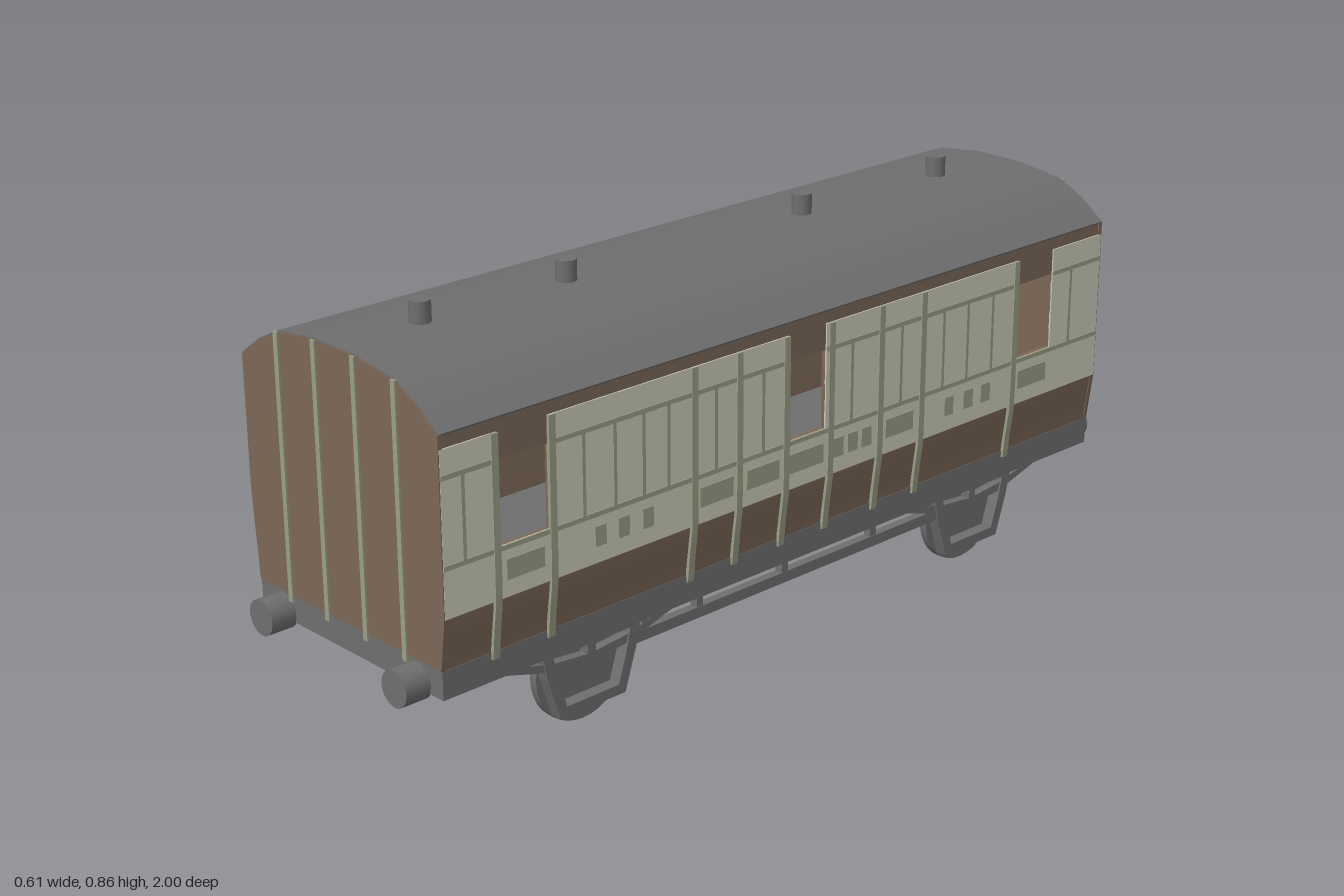
import * as THREE from 'three';
import { toCreasedNormals } from 'three/addons/utils/BufferGeometryUtils.js';

const material = (name, color) => {
  const m = new THREE.MeshStandardMaterial({ color });
  m.name = name;
  return m;
};

export function createModel() {
  const root = new THREE.Group();
  root.name = 'railwayCoach';
  const grey = material('frame grey', 0x6e6e6e);
  const brown = material('body brown', 0x7b6757);
  const cream = material('panel cream', 0xcacab8);
  const sage = material('beading sage', 0x9a9d85);

  const group = (name, parent = root) => {
    const g = new THREE.Group();
    g.name = name;
    parent.add(g);
    return g;
  };
  const add = (parent, name, geo, mat, x = 0, y = 0, z = 0) => {
    const m = new THREE.Mesh(geo, mat);
    m.name = name;
    m.position.set(x, y, z);
    parent.add(m);
    return m;
  };
  const polygon = (pts) => new THREE.Shape(pts.map((p) => new THREE.Vector2(...p)));
  const extrude = (shape, depth) => new THREE.ExtrudeGeometry(shape, { depth, bevelEnabled: false });

  const HALF = 0.943; // half length of the body
  const WIDE = 0.303;
  const knee = (s) => (s > 0 ? 0.36 : 0.44);
  // Half width of the side at a height: tucked in below the knee
  const sideX = (y, s) => WIDE - 0.014 * THREE.MathUtils.clamp((knee(s) - y) / (knee(s) - 0.25), 0, 1);

  // Slab following the side profile, between two lengths and two heights
  function sidePanel(parent, name, s, z0, z1, y0, y1, mat, outer, thick) {
    const geo = new THREE.BoxGeometry(thick, y1 - y0, Math.abs(z1 - z0), 1, y1 - y0 > 0.1 ? 8 : 1, 1);
    geo.translate(0, (y0 + y1) / 2, (z0 + z1) / 2);
    const p = geo.attributes.position;
    for (let i = 0; i < p.count; i++) {
      p.setX(i, p.getX(i) + s * (sideX(p.getY(i), s) + outer - thick / 2));
    }
    geo.computeVertexNormals();
    add(parent, name, geo, mat);
  }

  // Underframe
  add(root, 'underframe', new THREE.BoxGeometry(0.576, 0.06, HALF * 2), grey, 0, 0.22, 0);

  // Roof shell
  const arc = [[0.304, 0.725], [0.245, 0.768], [0.18, 0.8], [0.06, 0.815]];
  const mirrored = (pts) => [...pts, ...pts.map(([x, y]) => [-x, y]).reverse()];
  const outerArc = mirrored(arc);
  const innerArc = mirrored(arc.map(([x, y]) => [x * 0.97, y - 0.012])).reverse();
  const roof = extrude(polygon([...outerArc, ...innerArc]), HALF * 2);
  add(root, 'roof', toCreasedNormals(roof, 0.45), grey, 0, 0, -HALF);

  // Roof vents
  for (const z of [-0.72, -0.29, 0.377, 0.742]) {
    add(root, 'roofVent', new THREE.CylinderGeometry(0.022, 0.022, 0.06, 20), grey, 0, 0.83, z);
  }

  // End walls with upright beading
  const endShape = polygon([
    [-0.288, 0.25], [0.288, 0.25], [0.302, knee(1)],
    ...outerArc.map(([x, y]) => [x * 0.995, y - 0.002]), [-0.302, knee(-1)],
  ]);
  for (const e of [1, -1]) {
    const end = group(e > 0 ? 'frontEnd' : 'backEnd');
    add(end, 'endWall', extrude(endShape, 0.01), brown, 0, 0, e > 0 ? HALF - 0.008 : -HALF - 0.002);
    for (const x of [-0.182, -0.062, 0.06, 0.181]) {
      const top = Math.abs(x) > 0.1 ? 0.798 : 0.812;
      add(end, 'endBeading', new THREE.BoxGeometry(0.013, top - 0.236, 0.008), sage, x, (top + 0.236) / 2, e * (HALF + 0.002));
    }
    // Buffers
    for (const x of [-0.213, 0.213]) {
      const geo = new THREE.CylinderGeometry(0.038, 0.038, 0.06, 28).rotateX(Math.PI / 2);
      add(end, 'buffer', geo, grey, x, 0.207, e * 0.97);
    }
  }

  // Body sides
  const windows = [[0.81, 0.686], [0.056, -0.056], [-0.655, -0.777]];
  const SILL = 0.467;
  const HEAD = 0.638;
  const piers = [];
  let start = HALF;
  for (const [a, b] of windows) {
    piers.push([start, a]);
    start = b;
  }
  piers.push([start, -HALF]);
  const posts = [0.818, 0.681, 0.316, 0.193, 0.06, -0.07, -0.22, -0.35, -0.651];
  const mullions = [0.893, 0.603, 0.524, 0.45, 0.385, 0.257, 0.126, -0.132, -0.283, -0.416, -0.494, -0.575, -0.84];
  // Centre and width of each small plate below the waist
  const plates = [
    [0.75, 0.092], [0.563, 0.028], [0.503, 0.028], [0.44, 0.028], [0.255, 0.092], [0.125, 0.092],
    [0, 0.1], [-0.095, 0.03], [-0.138, 0.03], [-0.18, 0.03], [-0.282, 0.086],
    [-0.44, 0.028], [-0.503, 0.03], [-0.56, 0.03], [-0.717, 0.096],
  ];

  for (const s of [1, -1]) {
    const side = group(s > 0 ? 'leftSide' : 'rightSide');
    const panel = (name, z0, z1, y0, y1, mat, outer, thick = 0.004) =>
      sidePanel(side, name, s, z0, z1, y0, y1, mat, outer, thick);
    // Structural wall around the window openings
    panel('lowerWall', HALF, -HALF, 0.236, SILL, brown, -0.003, 0.01);
    panel('upperWall', HALF, -HALF, HEAD, 0.727, brown, -0.003, 0.01);
    panel('creamBand', HALF, -HALF, 0.36, SILL, cream, 0, 0.004);
    panel('waistBeading', HALF, -HALF, SILL - 0.01, SILL, sage, 0.002);
    for (const [a, b] of piers) {
      panel('windowPier', a, b, SILL, HEAD, brown, -0.003, 0.01);
      panel('creamPanel', a, b, SILL, 0.695, cream, 0, 0.004);
      panel('headBeading', a, b, HEAD - 0.003, HEAD + 0.007, sage, 0.002);
    }
    for (const z of posts) panel('doorPost', z - 0.008, z + 0.008, 0.236, 0.695, sage, 0.004, 0.008);
    for (const z of mullions) panel('panelBeading', z - 0.004, z + 0.004, SILL, HEAD, sage, 0.002);
    for (const [z, w] of plates) panel('namePlate', z - w / 2, z + w / 2, 0.395, 0.437, sage, 0.002);
  }

  // Running gear: shapes are drawn along the length, then extruded across
  const acrossX = (geo) => geo.rotateY(-Math.PI / 2);
  const hanger = polygon([[-0.128, 0.192], [-0.115, 0.13], [-0.085, 0.038], [0.085, 0.038], [0.115, 0.13], [0.128, 0.192]]);
  hanger.holes.push(new THREE.Path([[-0.1, 0.175], [0.1, 0.175], [0.09, 0.13], [0.068, 0.06], [-0.068, 0.06], [-0.09, 0.13]]
    .map((p) => new THREE.Vector2(...p))));
  const spring = polygon([
    [-0.27, 0.192], [-0.2, 0.172], [-0.1, 0.143], [0, 0.132], [0.1, 0.143], [0.2, 0.172], [0.27, 0.192],
    [0.22, 0.192], [0.1, 0.161], [0, 0.152], [-0.1, 0.161], [-0.22, 0.192],
  ]);
  for (const z of [0.56, -0.572]) {
    const set = group('wheelSet');
    set.position.z = z;
    add(set, 'axle', new THREE.CylinderGeometry(0.0125, 0.0125, 0.38, 14).rotateZ(Math.PI / 2), grey, 0, 0.12, 0);
    for (const s of [1, -1]) {
      add(set, 'wheel', new THREE.CylinderGeometry(0.12, 0.12, 0.018, 36).rotateZ(Math.PI / 2), grey, s * 0.231, 0.12, 0);
      add(set, 'axleGuard', acrossX(extrude(hanger, 0.028)), grey, s > 0 ? 0.271 : -0.243, 0, 0);
      add(set, 'leafSpring', acrossX(extrude(spring, 0.02)), grey, s > 0 ? 0.267 : -0.247, 0, 0);
      add(set, 'springStrap', new THREE.BoxGeometry(0.024, 0.04, 0.02), grey, s * 0.257, 0.172, 0);
    }
  }

  // Truss bars with struts
  for (const s of [1, -1]) {
    const truss = group('truss');
    add(truss, 'trussBar', new THREE.BoxGeometry(0.02, 0.024, 0.91), grey, s * 0.257, 0.144, -0.006);
    for (const z of [0.415, 0.265, 0.02, -0.25, -0.43]) {
      add(truss, 'trussStrut', new THREE.BoxGeometry(0.018, 0.05, 0.018), grey, s * 0.257, 0.172, z);
    }
  }
  return root;
}
